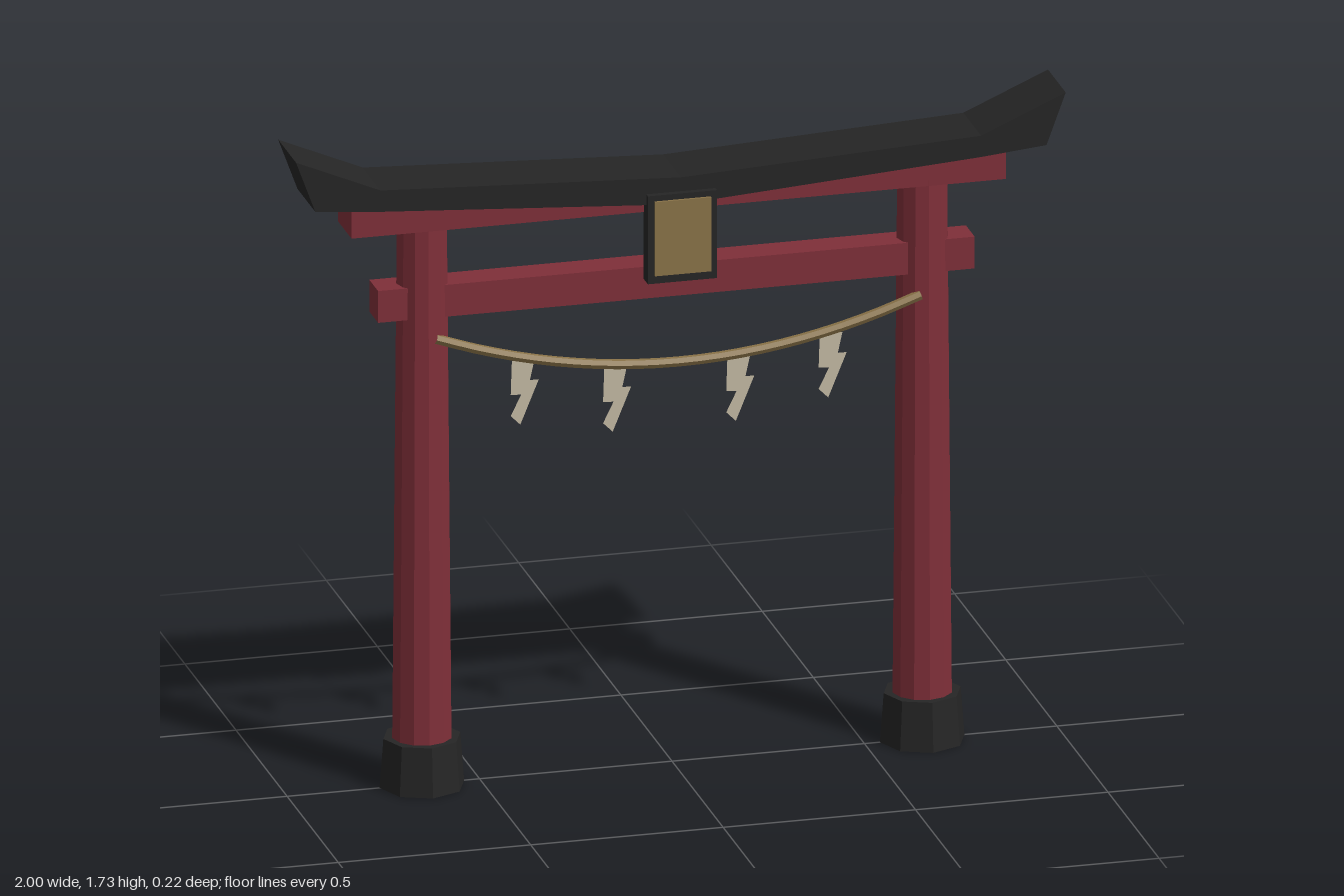
import * as THREE from 'three';

const mat = (name, color, extra = {}) => {
  const m = new THREE.MeshStandardMaterial({ color, ...extra });
  m.name = name;
  return m;
};

export function createModel() {
  const model = new THREE.Group();
  model.name = 'shrineGate';

  const red = mat('lacquerRed', 0x7f2f39, { flatShading: true });
  const black = mat('charcoalBlack', 0x252525, { flatShading: true });
  const gold = mat('strawGold', 0x8a7348, { flatShading: true });
  const paper = mat('paper', 0xc4baa4, { side: THREE.DoubleSide });

  const add = (name, geometry, material, x = 0, y = 0, z = 0) => {
    const mesh = new THREE.Mesh(geometry, material);
    mesh.name = name;
    mesh.position.set(x, y, z);
    model.add(mesh);
    return mesh;
  };
  // Box given by its half width, bottom, top, back and front
  const box = (name, material, hx, y0, y1, z0, z1) =>
    add(name, new THREE.BoxGeometry(hx * 2, y1 - y0, z1 - z0), material, 0, (y0 + y1) / 2, (z0 + z1) / 2);

  // Tapered pillars on flared footings
  for (const [side, s] of [['left', 1], ['right', -1]]) {
    add(side + 'Pillar', new THREE.CylinderGeometry(0.065, 0.078, 1.5, 12), red, s * 0.65, 0.77, 0);
    add(side + 'Footing', new THREE.CylinderGeometry(0.1, 0.11, 0.13, 8), black, s * 0.65, 0.065, 0);
  }

  // Beams and the short strut between them
  box('upperBeam', red, 0.85, 1.5, 1.578, -0.065, 0.065);
  box('tieBeam', red, 0.775, 1.26, 1.345, -0.043, 0.043);
  box('centreStrut', red, 0.05, 1.34, 1.51, -0.043, 0.043);

  // Sagging roof beam with upswept ends
  const top = [[-1, 1.725], [-0.78, 1.63], [0, 1.592], [0.78, 1.63], [1, 1.725]];
  const under = [[0.95, 1.589], [0.78, 1.573], [0, 1.52], [-0.78, 1.573], [-0.95, 1.589]];
  const roof = new THREE.Shape([...top, ...under].map(([x, y]) => new THREE.Vector2(x, y)));
  add('roofBeam', new THREE.ExtrudeGeometry(roof, { depth: 0.174, bevelEnabled: false }), black, 0, 0, -0.087);

  // Framed plaque
  box('plaqueFrame', black, 0.09, 1.32, 1.555, 0.06, 0.103);
  box('plaquePanel', gold, 0.073, 1.342, 1.54, 0.102, 0.11);

  // Hanging rope
  const ropeY = (x) => 1.09 + 0.12 * (x / 0.63) ** 2;
  const points = [];
  for (let i = 0; i <= 12; i++) {
    const x = -0.63 + (i * 1.26) / 12;
    points.push(new THREE.Vector3(x, ropeY(x), 0.06));
  }
  add('rope', new THREE.TubeGeometry(new THREE.CatmullRomCurve3(points), 24, 0.013, 6), gold);

  // Zigzag paper streamers
  const zigzag = new THREE.Shape([
    [-0.027, 0], [0.032, 0], [0.02, -0.055], [0.043, -0.055],
    [-0.005, -0.172], [-0.03, -0.147], [-0.003, -0.092], [-0.03, -0.09],
  ].map(([x, y]) => new THREE.Vector2(x, y)));
  const streamer = new THREE.ShapeGeometry(zigzag);
  [-0.405, -0.165, 0.155, 0.395].forEach((x, i) =>
    add('streamer' + (i + 1), streamer, paper, x, ropeY(x) - 0.008, 0.06));

  return model;
}
